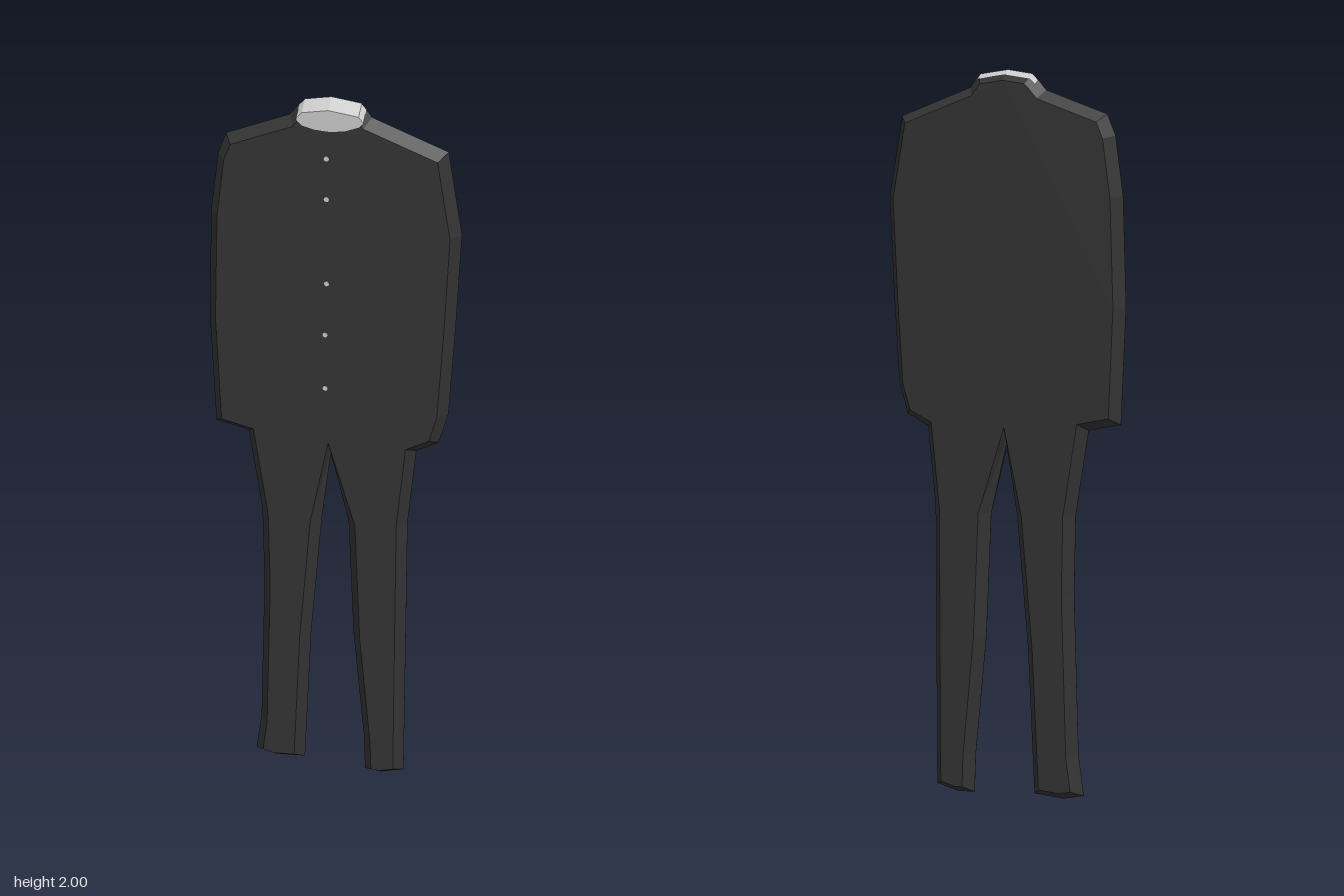
import * as THREE from 'three';

const HALF = 0.035;   // half thickness of the slab
const BEVEL = 0.025;  // how far the faces sit inside the outer edge

export function createModel() {
  const model = new THREE.Group();
  const cloth = new THREE.MeshStandardMaterial({ color: 0x333333 });
  cloth.name = 'darkCloth';
  const pale = new THREE.MeshStandardMaterial({ color: 0xcacaca, side: THREE.DoubleSide });
  pale.name = 'paleGrey';

  const add = (name, geometry, material) => {
    const mesh = new THREE.Mesh(geometry, material);
    mesh.name = name;
    model.add(mesh);
    return mesh;
  };

  // Suit silhouette, clockwise from the collar
  const outline = [
    [-0.095, 1.97], [-0.075, 1.99], [-0.005, 2.0], [0.075, 1.988], [0.1, 1.955],
    [0.297, 1.878], [0.336, 1.66], [0.325, 1.39], [0.312, 1.155], [0.288, 1.07], [0.228, 1.04],
    [0.207, 0.82], [0.207, 0.02], [0.143, 0.003], [0.094, 0.008], [0.09, 0.12], [0.058, 0.46], [0.043, 0.81],
    [-0.005, 1.02],
    [-0.032, 0.81], [-0.064, 0.44], [-0.084, 0.025], [-0.17, 0.02], [-0.228, 0.035], [-0.212, 0.15],
    [-0.197, 0.6], [-0.2, 0.82], [-0.235, 1.055], [-0.325, 1.076],
    [-0.336, 1.39], [-0.325, 1.68], [-0.303, 1.835], [-0.28, 1.89], [-0.112, 1.95],
  ].map(([x, y]) => new THREE.Vector2(x, y));

  // Extruded slab whose widest outline lies at mid depth
  const suit = new THREE.ExtrudeGeometry(new THREE.Shape(outline), {
    depth: 0.001, bevelEnabled: true, bevelSegments: 1,
    bevelThickness: HALF, bevelSize: BEVEL, bevelOffset: -BEVEL,
  });
  suit.translate(0, 0, -0.0005);
  add('suit', suit, cloth);

  // Neck opening: a thin skin over the collar top, wrapping from back to front.
  // Each section is [x, top y, front lower y].
  const sections = [
    [-0.088, 1.977, 1.947], [-0.073, 1.992, 1.934], [-0.04, 1.997, 1.925], [-0.005, 2.002, 1.922],
    [0.035, 1.996, 1.925], [0.073, 1.99, 1.938], [0.085, 1.975, 1.947],
  ];
  const positions = [];
  const index = [];
  sections.forEach(([x, top, low], i) => {
    const rim = Math.max(low, top - BEVEL);
    positions.push(x, top - 0.013, -0.021, x, top, 0, x, rim, HALF + 0.003, x, low, HALF + 0.003);
    if (i === 0) return;
    for (let k = 0; k < 3; k++) {
      const a = (i - 1) * 4 + k, b = i * 4 + k;
      index.push(a, a + 1, b, b, a + 1, b + 1);
    }
  });
  const neck = new THREE.BufferGeometry();
  neck.setAttribute('position', new THREE.Float32BufferAttribute(positions, 3));
  neck.setIndex(index);
  const neckFaceted = neck.toNonIndexed();
  neckFaceted.computeVertexNormals();
  add('neckOpening', neckFaceted, pale);

  // Small buttons down the front
  const button = new THREE.CylinderGeometry(0.007, 0.007, 0.003, 8).rotateX(Math.PI / 2);
  [[-0.01, 1.85], [-0.01, 1.742], [-0.01, 1.512], [-0.014, 1.368], [-0.014, 1.215]].forEach(([x, y], i) => {
    add('button' + (i + 1), button, pale).position.set(x, y, HALF + 0.001);
  });

  return model;
}
